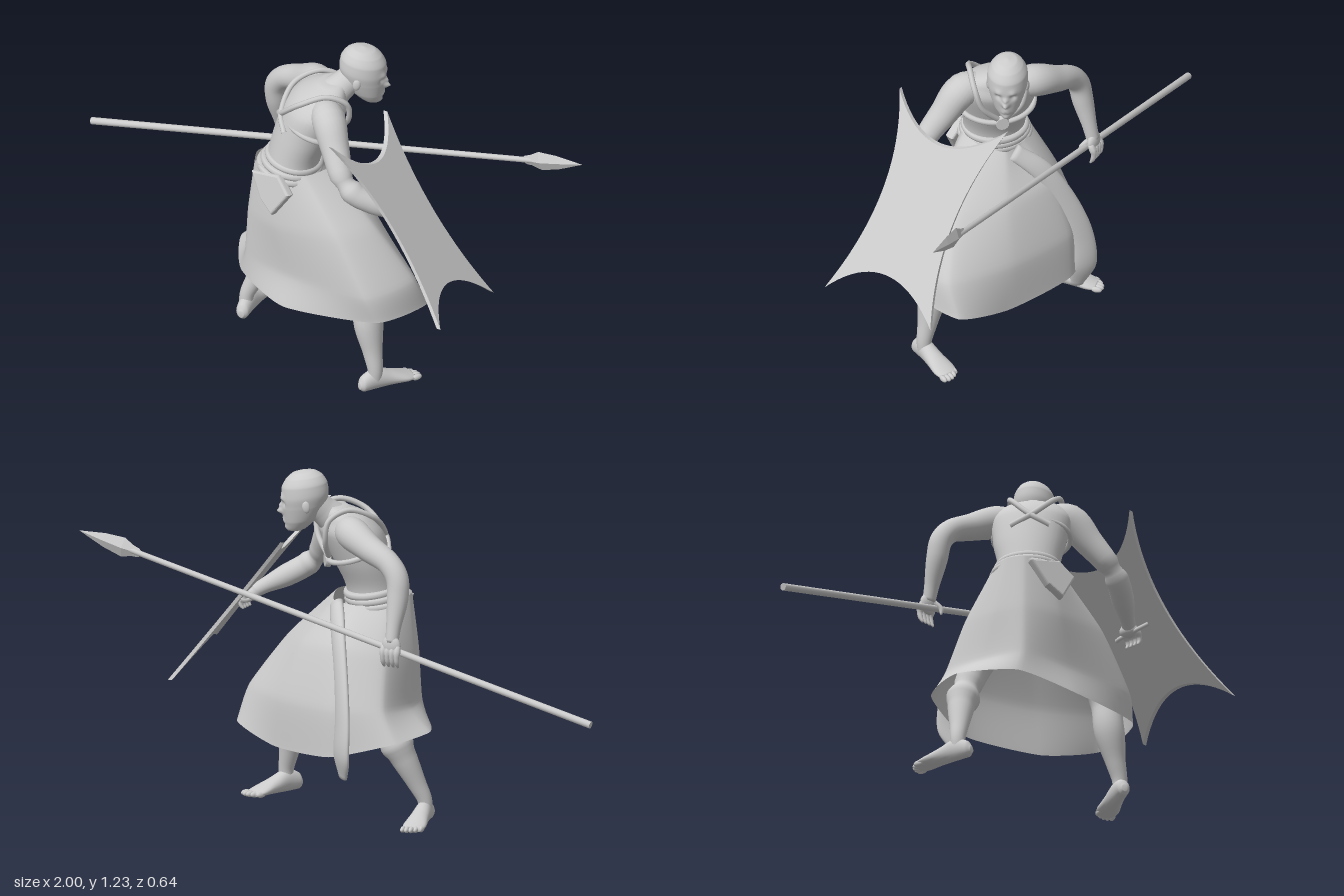
import * as THREE from 'three';
import { ParametricGeometry } from 'three/addons/geometries/ParametricGeometry.js';

const V = (x, y, z) => new THREE.Vector3(x, y, z);
const UP = V(0, 1, 0);
const FRONT = V(0.78, 0, -0.62).normalize(); // where the chest points
const SIDE = UP.clone().cross(FRONT);        // towards the spear arm
const mat = new THREE.MeshStandardMaterial({ color: 0xcccccc });
const matDouble = new THREE.MeshStandardMaterial({ color: 0xcccccc, side: THREE.DoubleSide });

function part(name, geometry, material = mat) {
  const m = new THREE.Mesh(geometry, material);
  m.name = name;
  return m;
}

// Smooth skin over elliptical sections [x, y, z, radiusA, radiusB]
function loftGeo(pts, { ref = V(0, 0, 1), tangent = null, sides = 24, segs = 36 } = {}) {
  const path = new THREE.CatmullRomCurve3(pts.map(p => V(p[0], p[1], p[2])));
  const radii = new THREE.CatmullRomCurve3(pts.map(p => V(p[3], p[4] ?? p[3], 0)));
  const pos = [], idx = [];
  for (let i = 0; i <= segs; i++) {
    const t = i / segs, c = path.getPoint(t), r = radii.getPoint(t);
    const T = tangent ? tangent.clone().normalize() : path.getTangent(t);
    const B = T.clone().cross(ref).normalize(), A = B.clone().cross(T);
    for (let j = 0; j < sides; j++) {
      const a = j / sides * Math.PI * 2;
      const p = c.clone().addScaledVector(A, r.x * Math.cos(a)).addScaledVector(B, r.y * Math.sin(a));
      pos.push(p.x, p.y, p.z);
      if (i === segs) continue;
      const k = i * sides, n = (j + 1) % sides;
      idx.push(k + j, k + n, k + sides + j, k + n, k + sides + n, k + sides + j);
    }
  }
  const c0 = pos.length / 3, last = segs * sides;
  for (const t of [0, 1]) pos.push(...path.getPoint(t).toArray());
  for (let j = 0; j < sides; j++) {
    const n = (j + 1) % sides;
    idx.push(c0, n, j, c0 + 1, last + j, last + n);
  }
  const g = new THREE.BufferGeometry();
  g.setAttribute('position', new THREE.Float32BufferAttribute(pos, 3));
  g.setIndex(idx);
  g.computeVertexNormals();
  return g;
}
const loft = (name, pts, opts) => part(name, loftGeo(pts, opts));

function ellipsoid(name, p, r) {
  const m = part(name, new THREE.SphereGeometry(1, 20, 14));
  m.position.set(...p);
  m.scale.set(...r);
  return m;
}

function strap(name, pts, radius, closed = false) {
  return part(name, new THREE.TubeGeometry(new THREE.CatmullRomCurve3(pts, closed), 48, radius, 8, closed));
}

// Point relative to the leaning spine: sideways, height, forward
const onBody = (s, y, f) => V(-0.01 + (y - 0.8) * 0.38, y, 0.04 - (y - 0.8) * 0.22)
  .addScaledVector(SIDE, s).addScaledVector(FRONT, f);

function makeHead() {
  const g = loftGeo([[0, -0.108, 0.045, 0.006, 0.006], [0, -0.102, 0.042, 0.022, 0.028], [0, -0.07, 0.024, 0.046, 0.056],
    [0, -0.02, 0.006, 0.064, 0.077], [0, 0.02, -0.002, 0.072, 0.084], [0, 0.055, -0.005, 0.07, 0.081],
    [0, 0.084, -0.008, 0.055, 0.064], [0, 0.101, -0.009, 0.034, 0.04], [0, 0.108, -0.009, 0.004, 0.005]],
  { ref: V(1, 0, 0), tangent: UP, sides: 80, segs: 80 });
  // Features: [x, y, z, spread, push forward], mirrored across the face
  const bumps = [[0, -0.028, 0.082, 0.011, 0.022], [0, -0.008, 0.082, 0.009, 0.011], [0.026, 0.02, 0.074, 0.013, 0.006],
    [0.025, 0.001, 0.074, 0.011, -0.01], [0, -0.058, 0.082, 0.013, 0.007], [0.009, -0.067, 0.078, 0.006, 0.003], [0, -0.092, 0.075, 0.016, 0.008]];
  const p = g.attributes.position, v = V(0, 0, 0);
  for (let i = 0; i < p.count; i++) {
    v.fromBufferAttribute(p, i);
    let push = 0;
    for (const [x, y, z, s, a] of bumps) {
      const d = (Math.abs(v.x) - x) ** 2 + (v.y - y) ** 2 + (v.z - z) ** 2;
      push += a * Math.exp(-d / (s * s));
    }
    p.setZ(i, v.z + push);
  }
  g.computeVertexNormals();
  const head = new THREE.Group();
  head.name = 'head';
  head.add(part('skull', g));
  for (const s of [-1, 1]) head.add(ellipsoid('ear', [0.068 * s, -0.012, -0.008], [0.008, 0.022, 0.014]));
  head.position.set(0.178, 1.122, -0.105);
  head.rotation.set(0.14, 1.95, 0, 'YXZ');
  return head;
}

// Foot from heel to toe, flat on the ground
function makeFoot(name, heel, toe) {
  const d = toe.clone().sub(heel), side = UP.clone().cross(d).normalize();
  const at = (t, y) => heel.clone().addScaledVector(d, t).setY(y).toArray();
  const g = new THREE.Group();
  g.name = name;
  g.add(loft('sole', [[0, 0.026, 0.01, 0.012], [0.06, 0.032, 0.023, 0.03], [0.28, 0.04, 0.028, 0.04],
    [0.52, 0.029, 0.034, 0.029], [0.76, 0.017, 0.041, 0.017], [0.9, 0.011, 0.034, 0.01]]
    .map(([t, y, a, b]) => [...at(t, y), a, b]), { ref: side, tangent: d }));
  for (let i = 0; i < 5; i++) {
    const p = V(...at(0.93 - 0.012 * (i - 1) ** 2, 0.011)).addScaledVector(side, (i - 2) * 0.015);
    const m = ellipsoid('toe', p.toArray(), [0.009, 0.011, 0.02]);
    m.rotation.y = Math.atan2(d.x, d.z);
    g.add(m);
  }
  return g;
}

// Skirt: four closed, tautly cornered rings from waist to hem, skinned lengthwise
function makeSkirt() {
  const rings = [
    [[0.12, 0.78, 0.03], [0.08, 0.78, 0.12], [-0.02, 0.78, 0.16], [-0.12, 0.78, 0.125], [-0.15, 0.78, 0.06], [-0.12, 0.765, -0.035], [-0.01, 0.755, -0.075], [0.09, 0.76, -0.055]],
    [[0.31, 0.6, 0.03], [0.235, 0.6, 0.165], [0, 0.58, 0.185], [-0.14, 0.58, 0.14], [-0.18, 0.58, 0.03], [-0.15, 0.6, -0.13], [0, 0.62, -0.19], [0.19, 0.6, -0.115]],
    [[0.445, 0.41, -0.01], [0.36, 0.4, 0.18], [0.05, 0.39, 0.182], [-0.15, 0.4, 0.145], [-0.195, 0.4, -0.02], [-0.175, 0.42, -0.2], [0, 0.42, -0.26], [0.25, 0.41, -0.16]],
    [[0.47, 0.285, -0.06], [0.4, 0.3, 0.16], [0.05, 0.28, 0.215], [-0.17, 0.32, 0.14], [-0.285, 0.325, -0.05], [-0.23, 0.31, -0.22], [0, 0.25, -0.27], [0.27, 0.235, -0.16]],
  ].map(r => new THREE.CatmullRomCurve3(r.map(p => V(...p)), true, 'catmullrom', 0.3));
  const g = new ParametricGeometry((u, v, target) => {
    new THREE.CatmullRomCurve3(rings.map(r => r.getPoint(u % 1)), false, 'catmullrom', 0.3).getPoint(v, target);
  }, 80, 24);
  return part('skirt', g, matDouble);
}

// Four-pointed shield with hollow edges, sheared onto its leaning plane
function makeShield() {
  const s = new THREE.Shape();
  s.moveTo(-0.266, 1.045);
  s.quadraticCurveTo(-0.09, 0.81, 0.14, 0.967);
  s.quadraticCurveTo(-0.01, 0.7, 0.083, 0.405);
  s.quadraticCurveTo(-0.13, 0.63, -0.318, 0.478);
  s.quadraticCurveTo(-0.15, 0.77, -0.266, 1.045);
  const g = new THREE.ExtrudeGeometry(s, { depth: 0.016, bevelEnabled: false, curveSegments: 20 });
  g.applyMatrix4(new THREE.Matrix4().set(-0.219, -0.818, 1, 1.063, 0, 1, 0, 0, -1, 0, 0, 0, 0, 0, 0, 1));
  g.computeVertexNormals();
  return part('shield', g);
}

function makeSpear() {
  const a = V(-1, 0.467, -0.213), b = V(1, 0.945, -0.232), len = a.distanceTo(b);
  const g = new THREE.Group();
  g.name = 'spear';
  const shaft = part('shaft', new THREE.CylinderGeometry(0.01, 0.013, len - 0.2, 12));
  shaft.position.y = (len - 0.2) / 2;
  const blade = part('blade', new THREE.LatheGeometry([[0.011, -0.245], [0.017, -0.235], [0.02, -0.215], [0.036, -0.175],
    [0.026, -0.1], [0.0005, 0]].map(p => new THREE.Vector2(...p)), 4).toNonIndexed());
  blade.geometry.computeVertexNormals();
  blade.position.y = len;
  blade.scale.z = 0.45;
  g.add(shaft, blade);
  g.position.copy(a);
  g.quaternion.setFromUnitVectors(UP, b.clone().sub(a).normalize());
  return g;
}

export function createModel() {
  const model = new THREE.Group();
  model.name = 'spearFighter';

  // Body
  model.add(loft('torso', [[-0.03, 0.64, 0.05, 0.12, 0.11], [-0.02, 0.72, 0.05, 0.12, 0.1], [-0.012, 0.8, 0.045, 0.11, 0.094],
    [0.016, 0.9, 0.022, 0.127, 0.104], [0.05, 1.0, 0.002, 0.14, 0.11], [0.07, 1.06, -0.012, 0.11, 0.085],
    [0.1, 1.1, -0.04, 0.045, 0.045]], { ref: SIDE, tangent: UP, sides: 36 }));
  model.add(loft('neck', [[0.09, 1.04, -0.03, 0.062], [0.13, 1.085, -0.067, 0.05], [0.165, 1.13, -0.1, 0.048]]));
  model.add(makeHead());

  // Arms
  model.add(loft('shieldArm', [[0.1, 1.03, 0.03, 0.045], [0.155, 1.02, 0.085, 0.06], [0.21, 0.94, 0.13, 0.05], [0.265, 0.86, 0.17, 0.041],
    [0.31, 0.815, 0.17, 0.041], [0.37, 0.777, 0.138, 0.04], [0.44, 0.738, 0.095, 0.027], [0.475, 0.715, 0.075, 0.023]]));
  model.add(loft('spearArm', [[0.04, 1.025, -0.06, 0.045], [-0.015, 1.02, -0.113, 0.058], [-0.1, 0.985, -0.15, 0.048], [-0.185, 0.946, -0.17, 0.041],
    [-0.222, 0.9, -0.18, 0.04], [-0.23, 0.83, -0.192, 0.038], [-0.228, 0.73, -0.22, 0.026], [-0.228, 0.68, -0.232, 0.023]]));

  // Hands
  model.add(ellipsoid('spearPalm', [-0.228, 0.67, -0.236], [0.036, 0.038, 0.019]));
  model.add(ellipsoid('shieldPalm', [0.475, 0.712, 0.07], [0.028, 0.026, 0.036]));
  for (let i = 0; i < 4; i++) {
    const x = -0.255 + i * 0.018, z = 0.04 + i * 0.018;
    model.add(loft('spearFinger', [[x, 0.67, -0.238, 0.01], [x, 0.64, -0.25, 0.01], [x, 0.615, -0.247, 0.009], [x, 0.595, -0.237, 0.004]],
      { ref: V(1, 0, 0), sides: 8, segs: 10 }));
    model.add(loft('shieldFinger', [[0.48, 0.715, z, 0.01], [0.5, 0.695, z, 0.01], [0.505, 0.675, z, 0.009], [0.495, 0.66, z, 0.004]],
      { sides: 8, segs: 10 }));
  }
  model.add(loft('spearThumb', [[-0.21, 0.68, -0.225, 0.011], [-0.195, 0.655, -0.205, 0.01], [-0.2, 0.63, -0.2, 0.004]], { sides: 8, segs: 10 }));

  // Legs and feet
  model.add(loft('shieldLeg', [[0.02, 0.67, 0.075, 0.085], [0.17, 0.56, 0.08, 0.08], [0.305, 0.45, 0.075, 0.058], [0.335, 0.37, 0.09, 0.053],
    [0.332, 0.27, 0.108, 0.054], [0.355, 0.15, 0.118, 0.036], [0.37, 0.08, 0.124, 0.027], [0.37, 0.035, 0.124, 0.024]]));
  model.add(loft('spearLeg', [[-0.05, 0.67, 0, 0.085], [-0.09, 0.54, -0.06, 0.075], [-0.12, 0.42, -0.11, 0.056], [-0.155, 0.34, -0.115, 0.05],
    [-0.195, 0.26, -0.105, 0.05], [-0.245, 0.14, -0.073, 0.033], [-0.268, 0.08, -0.058, 0.026], [-0.27, 0.035, -0.055, 0.024]]));
  model.add(makeFoot('shieldFoot', V(0.338, 0, 0.178), V(0.448, 0, -0.03)));
  model.add(makeFoot('spearFoot', V(-0.258, 0, 0), V(-0.302, 0, -0.24)));

  // Clothing: skirt, wrapped belt with its fold at the back, hanging sash
  model.add(makeSkirt());
  const hoop = (y, s, f, tilt) => Array.from({ length: 12 }, (_, i) => {
    const a = i / 12 * Math.PI * 2;
    return onBody(s * Math.cos(a), y + tilt * Math.sin(a), f * Math.sin(a));
  });
  for (let i = 0; i < 3; i++) model.add(strap('belt', hoop(0.752 + i * 0.02, 0.119 - i * 0.006, 0.108 - i * 0.006, -0.015), 0.014, true));
  const fold = new THREE.Shape([[-0.08, 0.03], [0.03, 0.05], [0.08, 0], [0.02, -0.085], [-0.03, -0.05]].map(p => new THREE.Vector2(...p)));
  const flap = part('beltFold', new THREE.ExtrudeGeometry(fold, { depth: 0.014, bevelSize: 0.008, bevelThickness: 0.01, bevelSegments: 3 }));
  flap.position.set(-0.025, 0.725, 0.162);
  flap.rotation.set(-0.2, -0.2, 0);
  model.add(flap);
  model.add(loft('sash', [[0.07, 0.755, -0.075, 0.03, 0.018], [0.02, 0.67, -0.16, 0.038, 0.018], [-0.03, 0.52, -0.235, 0.042, 0.017],
    [-0.055, 0.38, -0.275, 0.048, 0.017], [-0.055, 0.27, -0.283, 0.053, 0.017], [-0.05, 0.18, -0.26, 0.025, 0.01]], { ref: V(0.8, 0, 0.6) }));

  // Harness: shoulder straps, chest band, breast disc
  for (const s of [-1, 1]) {
    model.add(strap('shoulderStrap', [onBody(0, 0.9, 0.105), onBody(0.07 * s, 0.985, 0.098), onBody(0.09 * s, 1.06, 0.055), onBody(0.09 * s, 1.095, -0.03),
      onBody(0.075 * s, 1.06, -0.11), onBody(0, 0.98, -0.13), onBody(-0.07 * s, 0.94, -0.11)], 0.01));
  }
  model.add(strap('chestBand', hoop(0.935, 0.135, 0.112, -0.035), 0.01, true));
  const disc = part('breastDisc', new THREE.CylinderGeometry(0.023, 0.026, 0.018, 20));
  disc.position.copy(onBody(0, 0.9, 0.115));
  disc.quaternion.setFromUnitVectors(UP, FRONT);
  model.add(disc);

  // Weapons
  model.add(makeShield());
  model.add(strap('shieldGrip', [V(0.49, 0.72, 0.15), V(0.475, 0.705, 0.11), V(0.475, 0.695, 0.03), V(0.49, 0.7, 0)], 0.008));
  model.add(makeSpear());
  return model;
}
